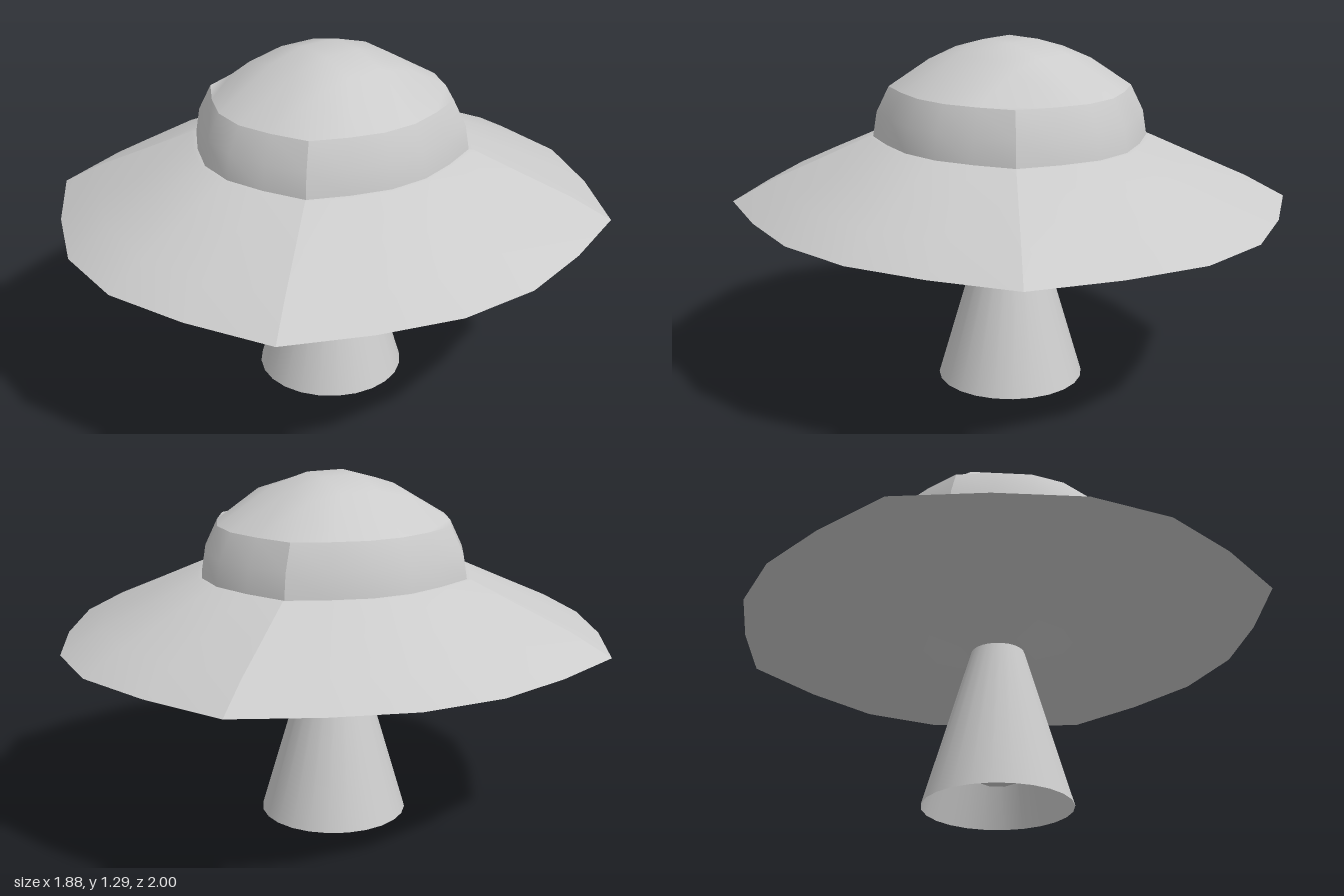
import * as THREE from 'three';

// Rounded-square outline: each side has six points (position along it, distance out).
const ALONG = [-0.73, -0.44, -0.15, 0.15, 0.44, 0.73];
const OUT_Z = [0.73, 0.89, 1, 1, 0.89, 0.73];
const OUT_X = [0.73, 0.855, 0.94, 0.94, 0.855, 0.73];

const grey = new THREE.MeshStandardMaterial({ color: 0xcccccc });
const greyOpen = new THREE.MeshStandardMaterial({ color: 0xcccccc, side: THREE.DoubleSide });

// Smooth patch from rows of [x, y, z]; rows run downwards, columns left to right.
function patch(name, rows) {
  const cols = rows[0].length;
  const index = [];
  for (let r = 0; r < rows.length - 1; r++) {
    for (let c = 0; c < cols - 1; c++) {
      const a = r * cols + c, b = a + 1, d = a + cols, e = d + 1;
      index.push(a, d, e, a, e, b);
    }
  }
  const geo = new THREE.BufferGeometry();
  geo.setAttribute('position', new THREE.Float32BufferAttribute(rows.flat(2), 3));
  geo.setIndex(index);
  geo.computeVertexNormals();
  const mesh = new THREE.Mesh(geo, grey);
  mesh.name = name;
  return mesh;
}

// Four side panels through a profile of [scale, y], creased where they meet.
function sidePanels(name, profile) {
  const group = new THREE.Group();
  group.name = name;
  for (let side = 0; side < 4; side++) {
    const out = side % 2 ? OUT_X : OUT_Z;
    const rows = profile.map(([s, y]) => ALONG.map((a, i) => {
      const o = out[i];
      const [x, z] = [[a, o], [o, -a], [-a, -o], [-o, a]][side];
      return [x * s, y, z * s];
    }));
    group.add(patch(name + 'Panel', rows));
  }
  return group;
}

// Six by six cap filling the outline; facing is 1 for up, -1 for down.
function cap(name, facing, rimScale, innerScale, [rimY, cornerY, midY, centreY]) {
  const rows = OUT_Z.map((_, j) => OUT_Z.map((_, col) => {
    const i = facing > 0 ? col : 5 - col;
    const edgeX = i % 5 === 0, edgeZ = j % 5 === 0;
    const x = edgeX ? Math.sign(i - 2.5) * OUT_X[j] : ALONG[i];
    const z = edgeZ ? Math.sign(j - 2.5) * OUT_Z[i] : ALONG[j];
    if (edgeX || edgeZ) return [x * rimScale, rimY, z * rimScale];
    const midX = i === 1 || i === 4, midZ = j === 1 || j === 4;
    const y = midX && midZ ? cornerY : midX || midZ ? midY : centreY;
    return [x * innerScale, y, z * innerScale];
  }));
  return patch(name, rows);
}

export function createModel() {
  const model = new THREE.Group();

  // Saucer: sloping skirt and shallow belly
  model.add(sidePanels('saucerSkirt', [[0.46, 0.94], [0.505, 0.938], [0.68, 0.857], [0.855, 0.777], [1, 0.695]]));
  model.add(cap('saucerBelly', -1, 1, 1, [0.695, 0.695, 0.695, 0.6]));

  // Dome: upright wall and rounded crown
  model.add(sidePanels('domeWall', [[0.43, 1.125], [0.475, 1.03], [0.49, 0.935]]));
  model.add(cap('domeCrown', 1, 0.43, 0.475, [1.125, 1.225, 1.255, 1.295]));

  // Open light beam down to the ground
  const beam = new THREE.Mesh(new THREE.CylinderGeometry(0.092, 0.275, 0.625, 24, 1, true), greyOpen);
  beam.name = 'beam';
  beam.position.y = 0.3125;
  model.add(beam);

  // Small faceted object floating inside the beam
  const profile = [[0, 0.1], [0.07, 0.1], [0.115, 0.14], [0.115, 0.2], [0.07, 0.24], [0, 0.24]];
  const core = new THREE.Mesh(
    new THREE.LatheGeometry(profile.map(([x, y]) => new THREE.Vector2(x, y)), 8),
    new THREE.MeshStandardMaterial({ color: 0xcccccc, flatShading: true }));
  core.name = 'beamCore';
  model.add(core);

  return model;
}
